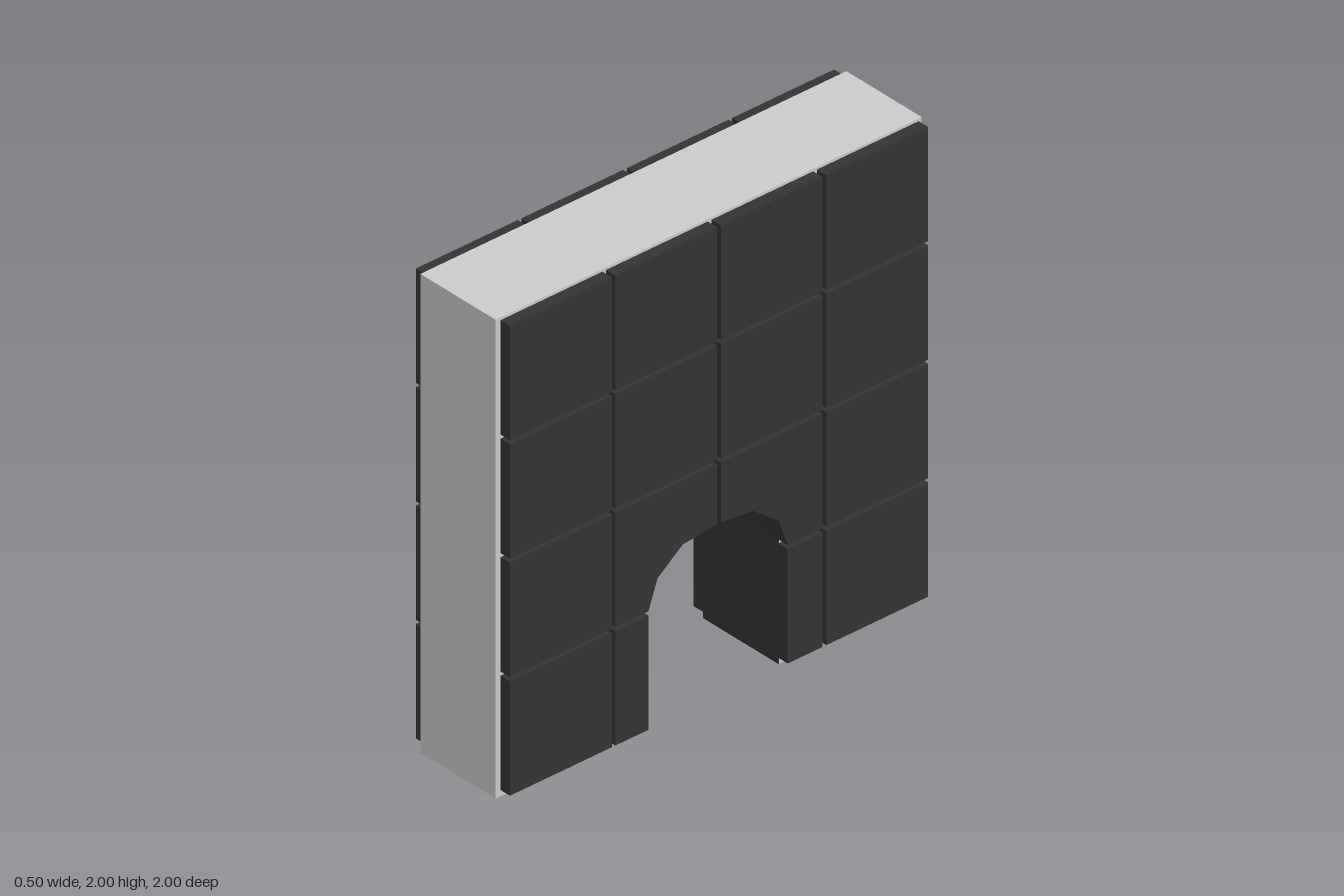
import * as THREE from 'three';

const GREY = new THREE.MeshStandardMaterial({ color: 0xcccccc, flatShading: true });
const DARK = new THREE.MeshStandardMaterial({ color: 0x343434, flatShading: true });

const HALF = 0.2;       // half thickness of the wall core
const FACING = 0.05;    // tile thickness
const TILE = 0.478, PITCH = 0.495;
const FIRST_Z = -0.986, FIRST_Y = 0.026;

// one half of the faceted arch as [z, y], from the springing to the crown
const ARCH = [[0.327, 0.521], [0.284, 0.641], [0.166, 0.732], [0, 0.75]];

// whole opening from the floor at -z, over the crown, to the floor at +z
function opening(grow) {
  const side = [[0.327, 0], ...ARCH].map(([z, y]) => [z ? z + grow : 0, y > 0.7 ? y + grow : y]);
  return [...side.map(([z, y]) => [-z, y]), ...side.slice(0, -1).reverse()];
}

// extrudes a [z, y] outline along x from x0 to x1
function slab(name, outline, x0, x1, material) {
  const shape = new THREE.Shape(outline.map(([z, y]) => new THREE.Vector2(-z, y)));
  const geometry = new THREE.ExtrudeGeometry(shape, { depth: x1 - x0, bevelEnabled: false });
  geometry.translate(0, 0, x0).rotateY(Math.PI / 2);
  const mesh = new THREE.Mesh(geometry, material);
  mesh.name = name;
  return mesh;
}

// outline of a tile, cut back where it meets the opening
function tileOutline(col, row) {
  const z0 = FIRST_Z + col * PITCH, z1 = z0 + TILE;
  const y0 = FIRST_Y + row * PITCH, y1 = y0 + TILE;
  if (row > 1 || col === 0 || col === 3) return [[z0, y0], [z1, y0], [z1, y1], [z0, y1]];
  const s = col === 1 ? -1 : 1;
  const outer = s < 0 ? z0 : z1, inner = s < 0 ? z1 : z0;
  const jamb = s * ARCH[0][0];
  if (row === 0) return [[outer, y0], [jamb, y0], [jamb, y1], [outer, y1]];
  const curve = ARCH.slice(0, 3).map(([z, y]) => [s * z, y]);
  return [[outer, y0], ...curve, [inner, 0.749], [inner, y1], [outer, y1]];
}

export function createModel() {
  const model = new THREE.Group();
  model.name = 'archedWall';

  // grey wall core with the doorway cut out
  const cut = opening(0.003);
  model.add(slab('wallCore', [[-1, 0], ...cut, [1, 0], [1, 2], [-1, 2]], -HALF, HALF, GREY));

  // dark lining of the doorway
  model.add(slab('doorwayLining', [...opening(0), ...cut.slice().reverse()], -HALF, HALF, DARK));

  // facing tiles on both broad sides
  for (const [name, x0] of [['leftTiles', HALF], ['rightTiles', -HALF - FACING]]) {
    const tiles = new THREE.Group();
    tiles.name = name;
    for (let row = 0; row < 4; row++)
      for (let col = 0; col < 4; col++)
        tiles.add(slab('tile', tileOutline(col, row), x0, x0 + FACING, DARK));
    model.add(tiles);
  }
  return model;
}
